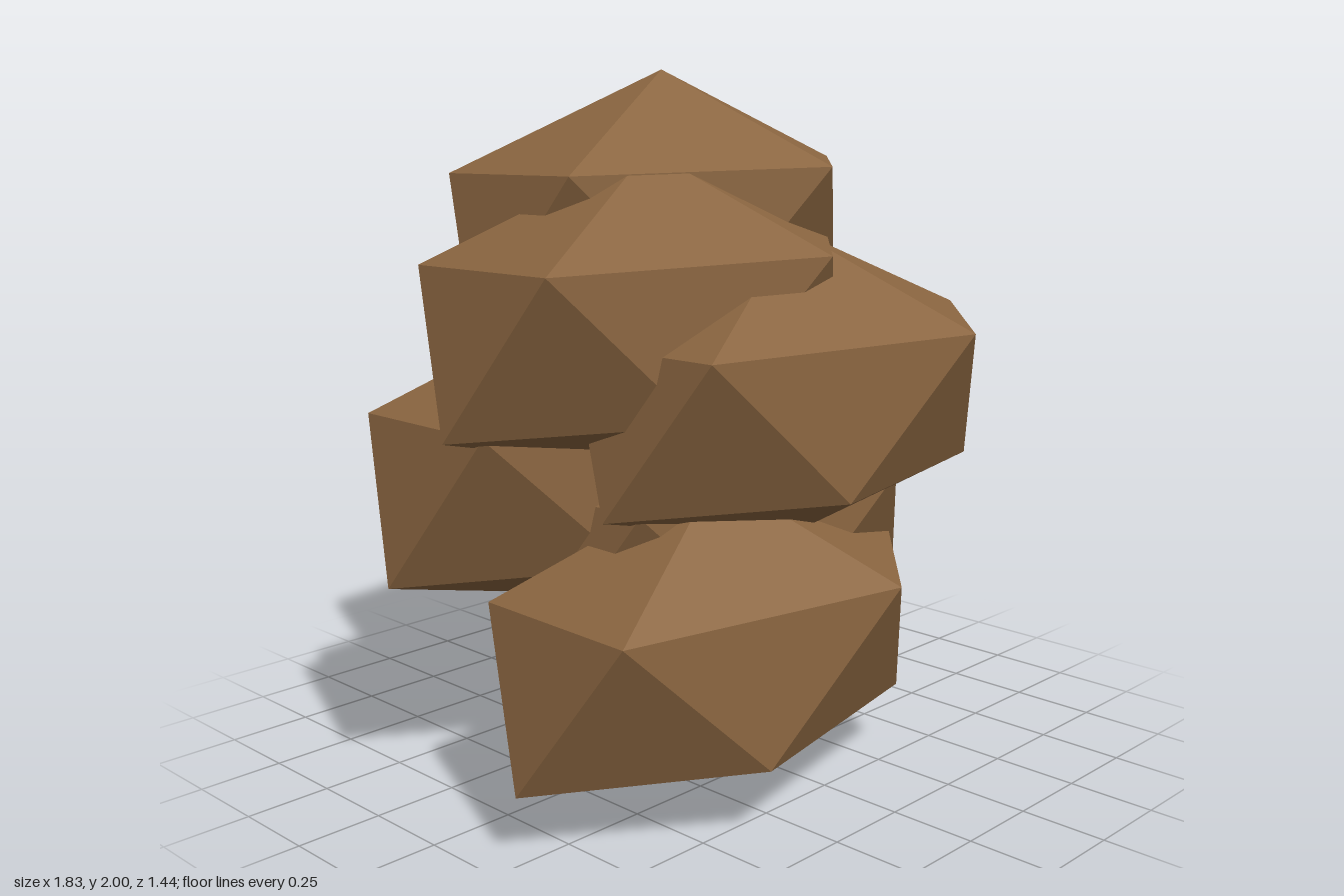
import * as THREE from 'three';

// A faceted boulder: two staggered five-point rings between a top and a bottom point.
// Each corner is pulled towards the centre by its own factor, for a chipped look.
function boulderGeometry() {
  const RX = 0.78, RZ = 0.492, RING_Y = 0.226, POLE_Y = 0.506;
  const upperPull = [1, 1, 1, 0.94, 0.88];
  const lowerPull = [0.84, 0.84, 0.945, 0.96, 0.94];
  const bottomPull = 0.78;

  const points = [0, POLE_Y, 0];
  const addRing = (pulls, y, offset) => pulls.forEach((f, k) => {
    const a = ((k + offset) * Math.PI * 2) / 5;
    points.push(Math.cos(a) * RX * f, y * f, Math.sin(a) * RZ * f);
  });
  addRing(upperPull, RING_Y, 0);
  addRing(lowerPull, -RING_Y, 0.5);
  points.push(0, -POLE_Y * bottomPull, 0);

  const faces = [];
  for (let k = 0; k < 5; k++) {
    const n = (k + 1) % 5;
    const u = 1 + k, u2 = 1 + n, l = 6 + k, l2 = 6 + n;
    faces.push(0, u2, u, u2, l, u, l2, l, u2, l2, 11, l);
  }
  const indexed = new THREE.BufferGeometry();
  indexed.setAttribute('position', new THREE.Float32BufferAttribute(points, 3));
  indexed.setIndex(faces);
  const geometry = indexed.toNonIndexed();
  geometry.computeVertexNormals();
  return geometry;
}

export function createModel() {
  const group = new THREE.Group();
  group.name = 'boulderPile';

  const brown = new THREE.MeshStandardMaterial({ color: 0x8a6540, flatShading: true });
  brown.name = 'earthBrown';

  // Six equal boulders climb in even steps, alternating in x and cycling in z
  const geometry = boulderGeometry();
  const xs = [-0.18, 0.13];
  const zs = [0.24, -0.02, -0.28];
  for (let i = 0; i < 6; i++) {
    const boulder = new THREE.Mesh(geometry, brown);
    boulder.name = `boulder${i + 1}`;
    boulder.position.set(xs[i % 2], 0.394 + i * 0.22, zs[i % 3]);
    group.add(boulder);
  }
  return group;
}
